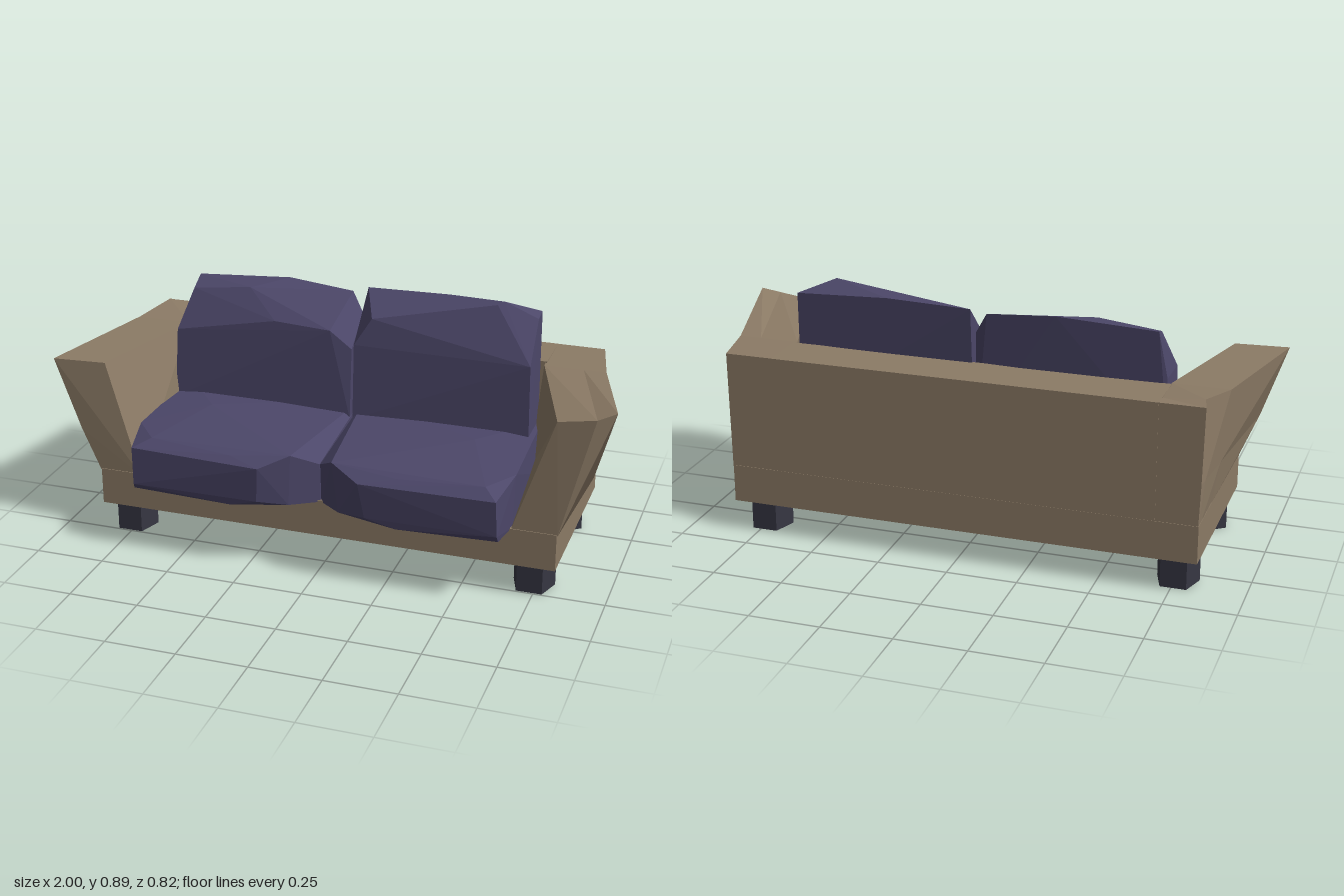
import * as THREE from 'three';
import { ConvexGeometry } from 'three/addons/geometries/ConvexGeometry.js';

const mat = (color) => new THREE.MeshStandardMaterial({ color, flatShading: true });

// Flat-shaded solid through matching cross-sections, listed front to back,
// each running counter-clockwise as seen from the front
function loft(sections) {
  const pos = [];
  const tri = (...pts) => pts.forEach((p) => pos.push(...p));
  const n = sections[0].length;
  for (let i = 0; i < sections.length - 1; i++) {
    for (let j = 0; j < n; j++) {
      const k = (j + 1) % n;
      const [a, b, c, d] = [sections[i][j], sections[i][k], sections[i + 1][k], sections[i + 1][j]];
      tri(a, d, c);
      tri(a, c, b);
    }
  }
  const front = sections[0], back = sections[sections.length - 1];
  for (let j = 1; j < n - 1; j++) {
    tri(front[0], front[j], front[j + 1]);
    tri(back[0], back[j + 1], back[j]);
  }
  const g = new THREE.BufferGeometry();
  g.setAttribute('position', new THREE.Float32BufferAttribute(pos, 3));
  g.computeVertexNormals();
  return g;
}

const hull = (points) => new ConvexGeometry(points.map((p) => new THREE.Vector3(...p)));

export function createModel() {
  const model = new THREE.Group();
  const fabric = mat(0x8c7b66), cushion = mat(0x4c4769), dark = mat(0x363642);

  const add = (name, geometry, material, x = 0, y = 0, z = 0) => {
    const mesh = new THREE.Mesh(geometry, material);
    mesh.name = name;
    mesh.position.set(x, y, z);
    model.add(mesh);
    return mesh;
  };

  // Base and backrest
  add('base', new THREE.BoxGeometry(1.67, 0.135, 0.686), fabric, -0.007, 0.1825, -0.065);
  add('backrest', new THREE.BoxGeometry(1.36, 0.425, 0.185), fabric, -0.015, 0.4525, -0.3145);

  // Flared arms, slightly uneven
  add('leftArm', loft([
    [[0.83, 0.245, 0.275], [0.94, 0.48, 0.275], [1, 0.7, 0.24], [0.94, 0.68, 0.27], [0.81, 0.66, 0.275], [0.67, 0.245, 0.275]],
    [[0.83, 0.245, -0.2], [0.855, 0.48, -0.2], [0.88, 0.66, -0.2], [0.8, 0.66, -0.2], [0.66, 0.66, -0.2], [0.62, 0.245, -0.2]],
    [[0.83, 0.245, -0.406], [0.832, 0.48, -0.406], [0.835, 0.665, -0.406], [0.78, 0.665, -0.406], [0.66, 0.665, -0.406], [0.62, 0.245, -0.406]],
  ]), fabric);
  add('rightArm', loft([
    [[-0.69, 0.245, 0.275], [-0.81, 0.66, 0.27], [-1, 0.66, 0.287], [-0.91, 0.4, 0.28], [-0.845, 0.245, 0.275]],
    [[-0.64, 0.245, -0.2], [-0.69, 0.66, -0.2], [-0.89, 0.66, -0.2], [-0.865, 0.4, -0.2], [-0.84, 0.245, -0.2]],
    [[-0.64, 0.245, -0.37], [-0.7, 0.67, -0.37], [-0.84, 0.68, -0.37], [-0.85, 0.4, -0.37], [-0.84, 0.245, -0.37]],
    [[-0.64, 0.245, -0.406], [-0.69, 0.665, -0.406], [-0.85, 0.665, -0.406], [-0.845, 0.4, -0.406], [-0.84, 0.245, -0.406]],
  ]), fabric);

  // Seat cushions
  add('rightSeatCushion', hull([
    [-0.69, 0.242, -0.2], [-0.012, 0.242, -0.2], [-0.69, 0.44, -0.2], [-0.012, 0.44, -0.2],
    [-0.69, 0.242, 0.25], [-0.67, 0.242, 0.37], [-0.3, 0.242, 0.39], [-0.1, 0.25, 0.345], [-0.008, 0.242, 0.27],
    [-0.695, 0.435, 0.24], [-0.66, 0.41, 0.4], [-0.66, 0.27, 0.398], [-0.19, 0.4, 0.407], [-0.2, 0.27, 0.395],
    [-0.09, 0.44, 0.35], [-0.008, 0.39, 0.28], [-0.5, 0.455, 0.05], [-0.6, 0.44, 0.36], [-0.3, 0.425, 0.38],
  ]), cushion);
  add('leftSeatCushion', hull([
    [0.67, 0.242, -0.2], [-0.002, 0.242, -0.2], [0.66, 0.44, -0.2], [-0.002, 0.44, -0.2],
    [0.67, 0.242, 0.25], [0.65, 0.242, 0.37], [0.3, 0.242, 0.39], [0.08, 0.25, 0.345], [-0.006, 0.242, 0.27],
    [0.675, 0.435, 0.24], [0.645, 0.4, 0.4], [0.65, 0.27, 0.392], [0.17, 0.4, 0.41], [0.19, 0.27, 0.395],
    [0.06, 0.44, 0.355], [-0.006, 0.39, 0.28], [0.48, 0.455, 0.05], [0.6, 0.435, 0.365], [0.3, 0.425, 0.38],
  ]), cushion);

  // Back cushions
  add('rightBackCushion', hull([
    [-0.69, 0.42, -0.06], [-0.012, 0.42, -0.06], [-0.69, 0.42, -0.21], [-0.012, 0.42, -0.21],
    [-0.68, 0.68, -0.075], [-0.3, 0.755, -0.075], [-0.09, 0.745, -0.07], [-0.64, 0.82, -0.15],
    [-0.65, 0.845, -0.235], [-0.3, 0.865, -0.245], [-0.055, 0.845, -0.23], [-0.012, 0.77, -0.215],
    [-0.012, 0.68, -0.08], [-0.68, 0.68, -0.22], [-0.42, 0.845, -0.15],
  ]), cushion);
  add('leftBackCushion', hull([
    [0.645, 0.42, -0.06], [-0.002, 0.42, -0.06], [0.645, 0.42, -0.21], [-0.002, 0.42, -0.21],
    [0.06, 0.8, -0.09], [0.64, 0.7, -0.065], [0.5, 0.885, -0.14], [0.52, 0.895, -0.155],
    [0.64, 0.85, -0.225], [0.3, 0.868, -0.24], [-0.002, 0.86, -0.245], [-0.002, 0.7, -0.075],
    [0.64, 0.84, -0.17], [-0.002, 0.66, -0.22],
  ]), cushion);

  // Five-sided feet, points facing each other front to back
  const foot = new THREE.CylinderGeometry(0.077, 0.077, 0.12, 5);
  for (const [side, x] of [['left', 0.735], ['right', -0.757]]) {
    add(side + 'FrontFoot', foot, dark, x, 0.06, 0.182).rotation.y = Math.PI;
    add(side + 'BackFoot', foot, dark, x, 0.06, -0.312);
  }
  return model;
}
